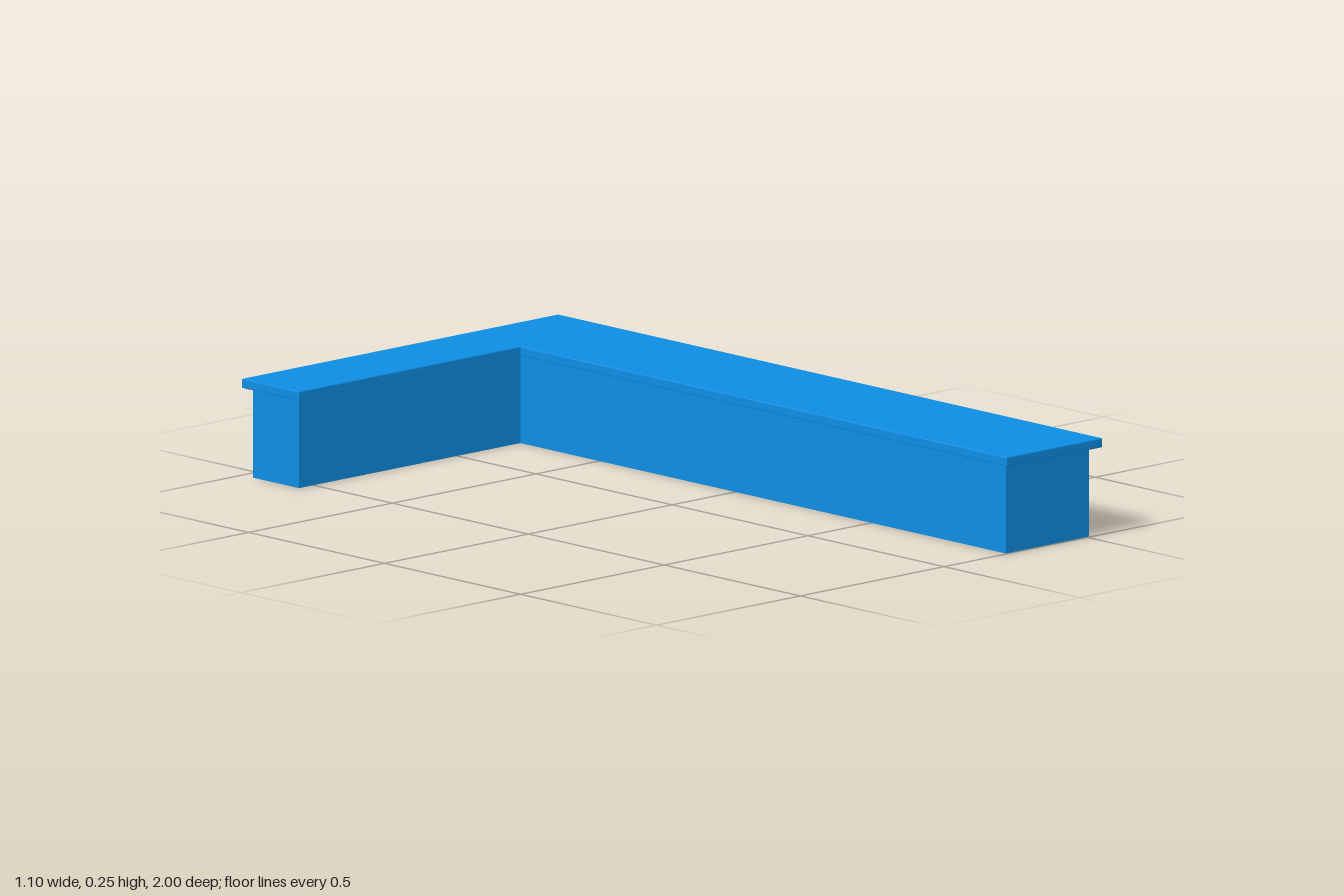
import * as THREE from 'three';

const END_X = -0.55, END_Z = 1, INNER_X = 0.22, INNER_Z = -0.79;

// L-shaped slab between two heights; the outer sides lie at outerX and outerZ
function lSlab(name, outerX, outerZ, endZ, y0, y1, bevel, material) {
  const b = bevel;
  const corners = [
    [END_X + b, outerZ + b], [END_X + b, INNER_Z - b], [INNER_X + b, INNER_Z - b],
    [INNER_X + b, endZ - b], [outerX - b, endZ - b], [outerX - b, outerZ + b],
  ];
  const shape = new THREE.Shape(corners.map(([x, z]) => new THREE.Vector2(x, -z)));
  const geometry = new THREE.ExtrudeGeometry(shape, {
    depth: y1 - y0 - 2 * b, bevelEnabled: b > 0, bevelSize: b, bevelThickness: b, bevelSegments: 2,
  });
  geometry.rotateX(-Math.PI / 2).translate(0, y0 + b, 0);
  const mesh = new THREE.Mesh(geometry, material);
  mesh.name = name;
  return mesh;
}

export function createModel() {
  const group = new THREE.Group();
  group.name = 'lShapedCounter';
  const blue = new THREE.MeshStandardMaterial({ color: 0x0d8de3 });

  // Solid base, set back under the top along the outer sides
  group.add(lSlab('base', 0.51, -0.96, 0.995, 0, 0.226, 0, blue));
  // Thin counter top with softened edges
  group.add(lSlab('counterTop', 0.55, -1, END_Z, 0.225, 0.25, 0.003, blue));
  return group;
}
